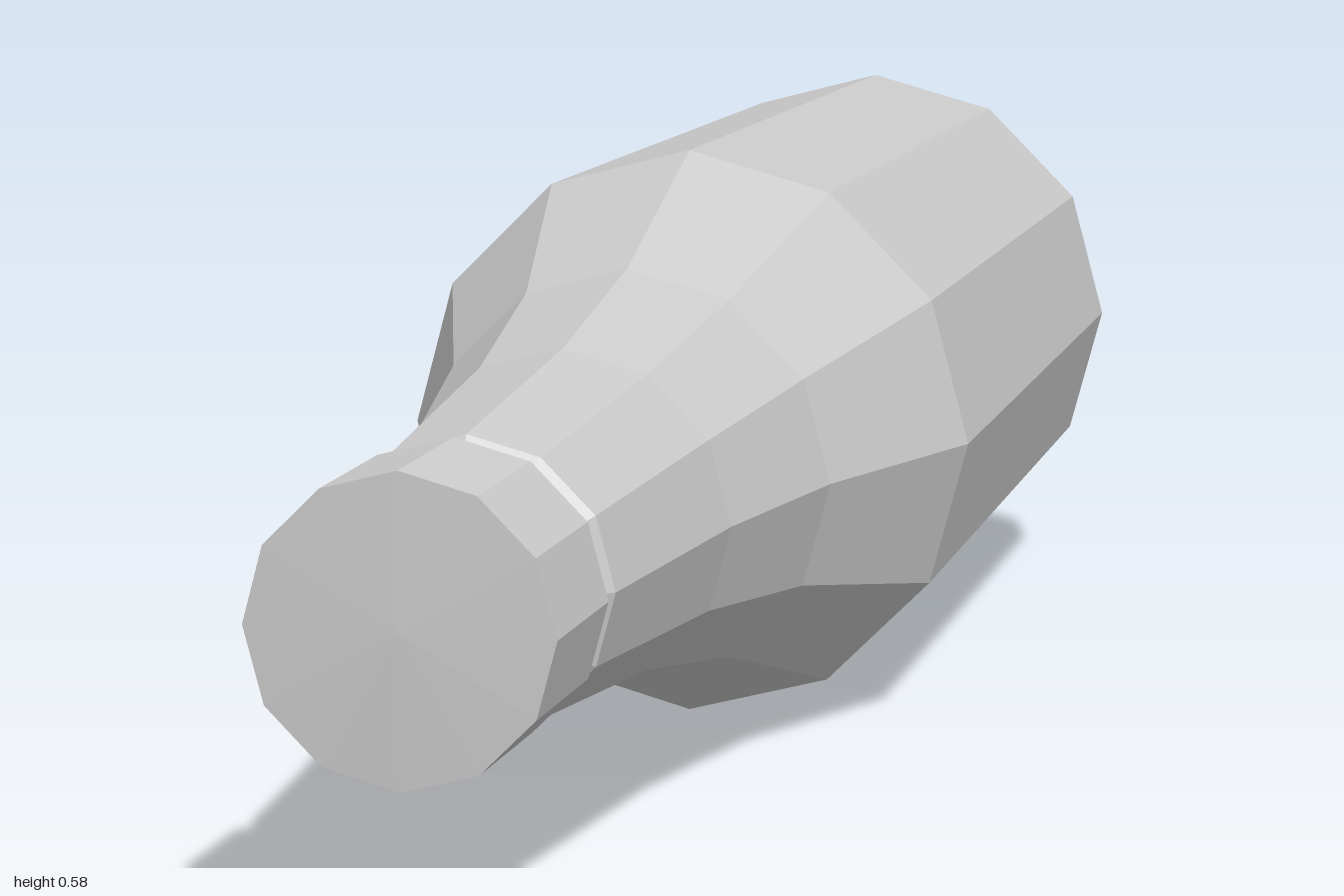
import * as THREE from 'three';

const SIDES = 12;
const AXIS_HEIGHT = 0.293;

// Turns a [radius, z] profile, listed from back to front, around the z axis
function turned(name, profile, material) {
  const points = profile.map(([r, z]) => new THREE.Vector2(r, z));
  const geometry = new THREE.LatheGeometry(points, SIDES);
  geometry.rotateX(Math.PI / 2);
  const mesh = new THREE.Mesh(geometry, material);
  mesh.name = name;
  return mesh;
}

export function createModel() {
  const material = new THREE.MeshStandardMaterial({ color: 0xcccccc, flatShading: true });
  const bottle = new THREE.Group();
  bottle.name = 'bottle';

  // Flat base, bevelled edge, body, sloping shoulder and neck with a closed mouth
  bottle.add(turned('bottleBody', [
    [0, -1], [0.226, -1], [0.274, -0.95], [0.292, -0.035],
    [0.205, 0.22], [0.163, 0.46], [0.136, 0.785], [0.107, 0.81], [0, 0.81],
  ], material));

  // Cap with an undercut lower rim and a very slightly domed end
  bottle.add(turned('bottleCap', [
    [0, 0.805], [0.107, 0.805], [0.14, 0.825], [0.14, 0.995], [0, 1],
  ], material));

  bottle.position.y = AXIS_HEIGHT;
  const model = new THREE.Group();
  model.name = 'lyingBottle';
  model.add(bottle);
  return model;
}
